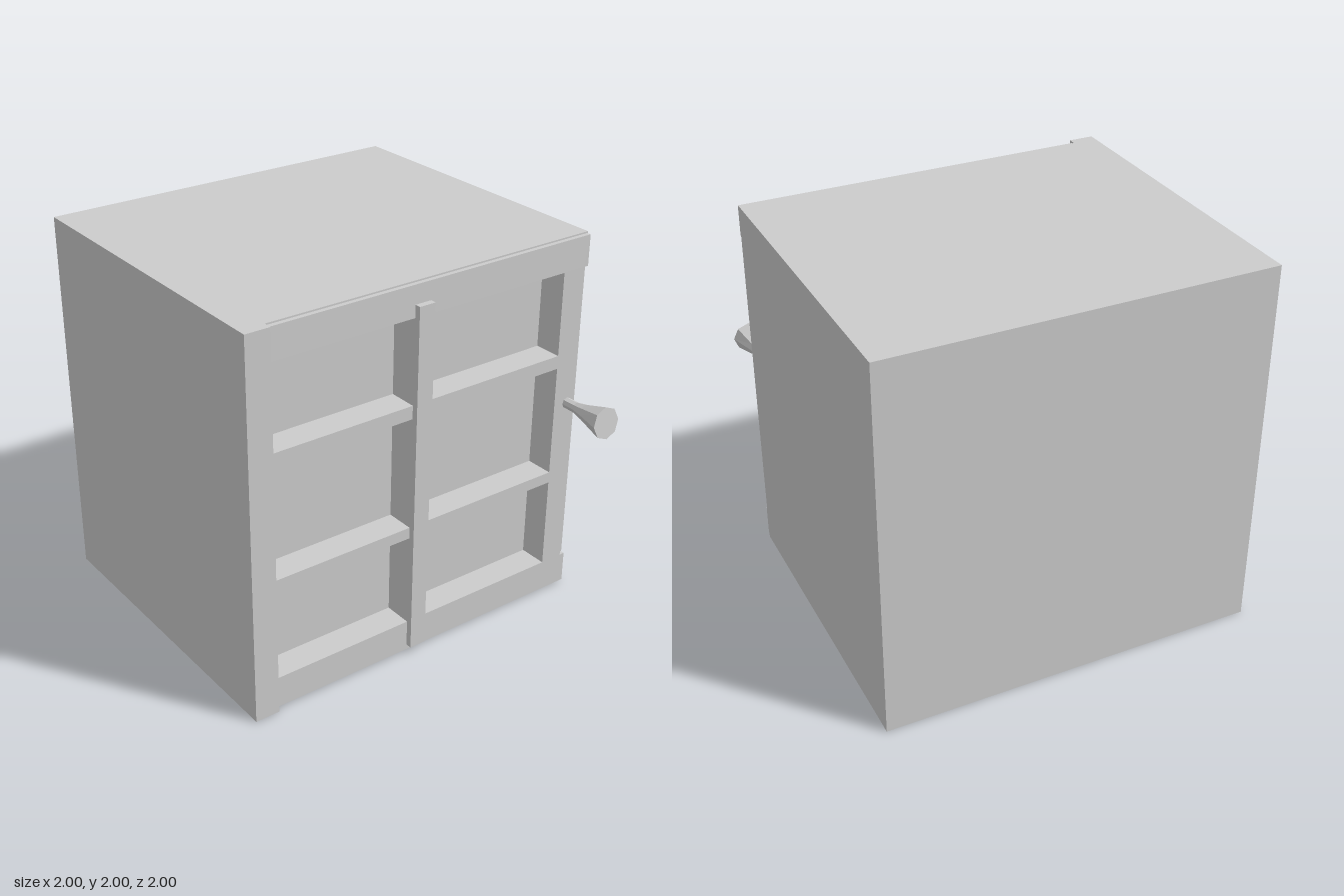
import * as THREE from 'three';

const material = new THREE.MeshStandardMaterial({ color: 0xcccccc, flatShading: true, side: THREE.DoubleSide });

const BACK = 0.56; // z of the panel behind the recessed cells

function add(group, name, geometry) {
  const mesh = new THREE.Mesh(geometry, material);
  mesh.name = name;
  group.add(mesh);
}

// box given by its limits on each axis
function box(x0, x1, y0, y1, z0, z1) {
  return new THREE.BoxGeometry(x1 - x0, y1 - y0, z1 - z0)
    .translate((x0 + x1) / 2, (y0 + y1) / 2, (z0 + z1) / 2);
}

const outline = (points) => points.map(([x, y]) => new THREE.Vector2(x, y));

function slab(points, holes, z0, z1) {
  const shape = new THREE.Shape(outline(points));
  for (const hole of holes) shape.holes.push(new THREE.Path(outline(hole)));
  return new THREE.ExtrudeGeometry(shape, { depth: z1 - z0, bevelEnabled: false }).translate(0, 0, z0);
}

export function createModel() {
  const group = new THREE.Group();

  // solid cabinet body, with a rim around the recess
  add(group, 'cabinetBody', box(-1, 0.99, 0, 2, -1, BACK));
  add(group, 'cabinetRim', slab([
    [-0.87, 0], [0.99, 0], [0.99, 2], [-0.87, 2],
    [-0.87, 1.86], [0.86, 1.86], [0.86, 0.15], [-0.87, 0.15],
  ], [], BACK, 0.687));

  // raised hinge-side stile
  add(group, 'hingeStile', box(-1, -0.87, 0, 2, BACK, 0.73));

  // door frame with shelves between three openings, notched along its free edge
  const openings = [[0.18, 0.67], [0.73, 1.32], [1.39, 1.83]];
  add(group, 'doorFrame', slab([
    [-0.9, 0.012], [0.986, 0.012], [0.986, 0.18], [0.957, 0.18],
    [0.957, 1.83], [0.986, 1.83], [0.986, 1.992], [-0.9, 1.992],
  ], openings.map(([y0, y1]) => [[-0.88, y0], [-0.88, y1], [0.83, y1], [0.83, y0]]), BACK, 0.71));

  // upright bar dividing the cells
  add(group, 'centerBar', box(-0.085, 0.005, 0.04, 1.895, BACK, 0.742));

  // flared eight-sided knob with a slightly slanted end
  const profile = outline([[0.028, 0], [0.029, 0.08], [0.042, 0.14], [0.084, 0.287], [0, 0.287]]);
  const knob = new THREE.LatheGeometry(profile, 8).rotateX(Math.PI / 2);
  const p = knob.attributes.position;
  for (let i = 0; i < p.count; i++) {
    const slant = Math.max(0, p.getZ(i) - 0.14) / 0.147;
    p.setZ(i, p.getZ(i) - 0.14 * slant * p.getY(i));
  }
  knob.translate(0.914, 1.108, 0.702);
  knob.computeVertexNormals();
  add(group, 'knob', knob);

  return group;
}
